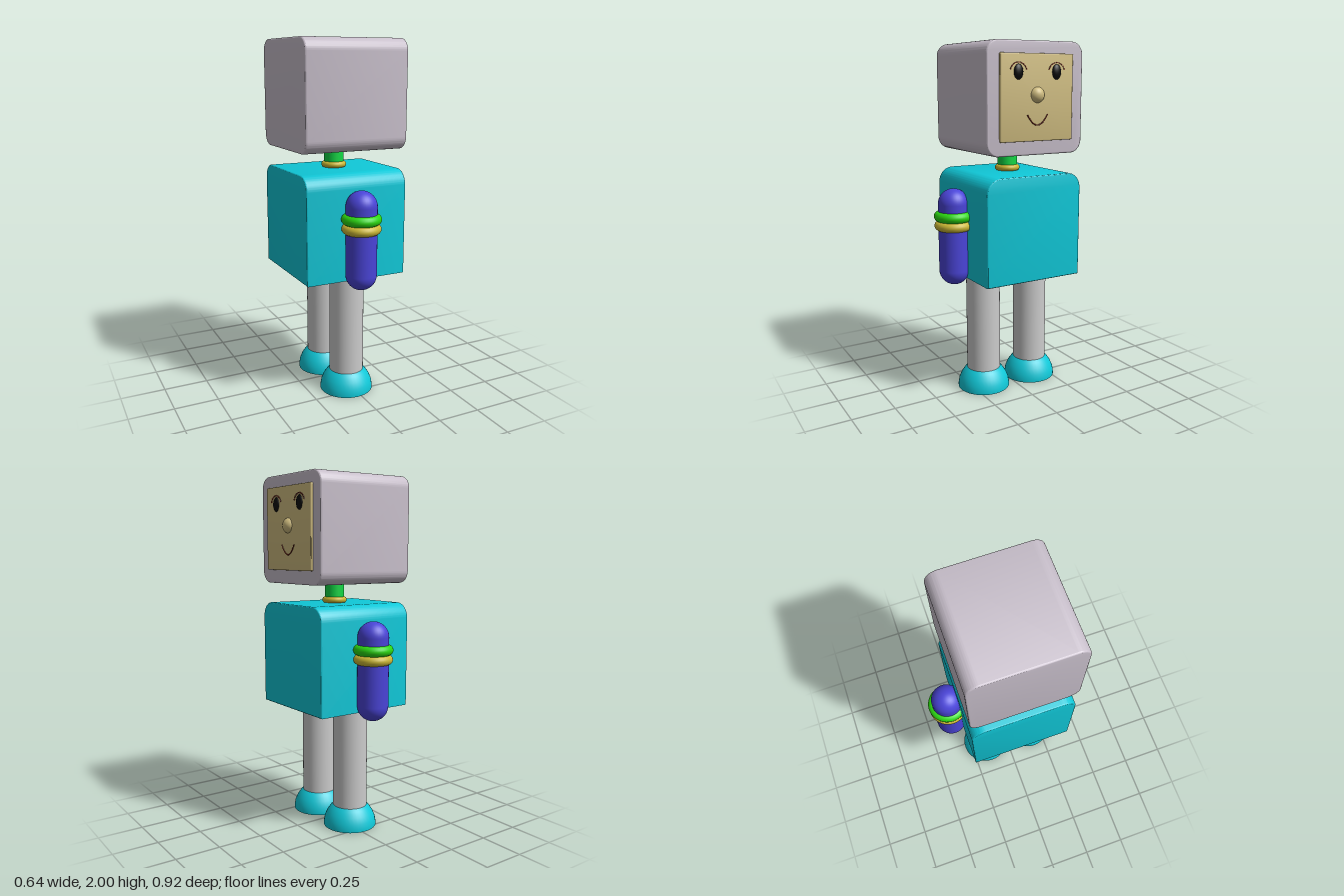
import * as THREE from 'three';
import { toCreasedNormals } from 'three/addons/utils/BufferGeometryUtils.js';

const material = (color) => new THREE.MeshStandardMaterial({ color });
const GREY = material(0xcccccc);
const HEAD = material(0xc9c0cc);
const TEAL = material(0x10c8d8);
const BLUE = material(0x4a44d8);
const GREEN = material(0x2bd810);
const NECK = material(0x10d845);
const YELLOW = material(0xcdb935);
const SKIN = material(0xd0bd80);
const BLACK = material(0x0a0a0a);
const BROWN = material(0x7a2a1c);

const CX = -0.022; // centre line of limbs and neck
const CZ = 0.008; // middle of head and body

export function createModel() {
  const model = new THREE.Group();
  model.name = 'robot';

  const add = (name, geometry, mat, x, y, z, parent = model) => {
    const mesh = new THREE.Mesh(geometry, mat);
    mesh.name = name;
    mesh.position.set(x, y, z);
    parent.add(mesh);
    return mesh;
  };

  // Rounded block running along x, with separate top and bottom corner radii
  const block = (width, height, depth, top, bottom, bevel) => {
    const w = width / 2, h = height / 2;
    const s = new THREE.Shape();
    s.moveTo(-w + bottom, -h);
    s.lineTo(w - bottom, -h);
    if (bottom) s.absarc(w - bottom, -h + bottom, bottom, -Math.PI / 2, 0);
    s.lineTo(w, h - top);
    s.absarc(w - top, h - top, top, 0, Math.PI / 2);
    s.lineTo(-w + top, h);
    s.absarc(-w + top, h - top, top, Math.PI / 2, Math.PI);
    s.lineTo(-w, -h + bottom);
    if (bottom) s.absarc(-w + bottom, -h + bottom, bottom, Math.PI, Math.PI * 1.5);
    const g = new THREE.ExtrudeGeometry(s, {
      depth: depth - 2 * bevel, bevelSize: bevel, bevelThickness: bevel,
      bevelOffset: -bevel, bevelSegments: 3, curveSegments: 12,
    });
    g.translate(0, 0, -depth / 2 + bevel);
    g.rotateY(Math.PI / 2);
    return toCreasedNormals(g, 0.6);
  };

  const ring = (name, radius, tube, mat, x, y, z, parent) => {
    const g = new THREE.TorusGeometry(radius, tube, 16, 48).rotateX(Math.PI / 2);
    return add(name, g, mat, x, y, z, parent);
  };

  // Head, body and neck
  add('head', block(0.595, 0.595, 0.6, 0.07, 0.07, 0.008), HEAD, -0.022, 1.7025, CZ);
  add('body', block(0.595, 0.592, 0.6, 0.085, 0, 0.006), TEAL, -0.022, 0.996, CZ);
  add('neck', new THREE.CylinderGeometry(0.056, 0.056, 0.16, 32), NECK, CX, 1.35, 0.01);
  ring('neckRing', 0.053, 0.018, YELLOW, CX, 1.308, 0.01);

  // Face, looking along +x
  const face = new THREE.Group();
  face.name = 'face';
  model.add(face);
  add('facePlate', block(0.45, 0.455, 0.03, 0.008, 0.008, 0.006), SKIN, 0.277, 1.7075, CZ, face);
  add('nose', new THREE.SphereGeometry(0.045, 32, 20), SKIN, 0.275, 1.722, CZ, face);
  for (const side of [-1, 1]) {
    const z = CZ + side * 0.118;
    const eye = add('eye', new THREE.SphereGeometry(1, 24, 16), BLACK, 0.288, 1.84, z, face);
    eye.scale.set(0.018, 0.041, 0.029);
    // Short dashes arching over the eye
    for (let i = 0; i < 9; i++) {
      const a = THREE.MathUtils.degToRad(20 + i * 17.5);
      const dash = add('eyebrow', new THREE.BoxGeometry(0.006, 0.005, 0.01), BROWN,
        0.293, 1.84 + Math.sin(a) * 0.048, z + Math.cos(a) * 0.05, face);
      dash.rotation.x = Math.PI / 2 - a;
    }
  }
  const smile = new THREE.QuadraticBezierCurve3(
    new THREE.Vector3(0.292, 1.62, CZ + 0.063),
    new THREE.Vector3(0.292, 1.51, CZ),
    new THREE.Vector3(0.292, 1.62, CZ - 0.063));
  add('mouth', new THREE.TubeGeometry(smile, 24, 0.0035, 8), BROWN, 0, 0, 0, face);

  // Arms with two bands, legs and domed feet
  const footProfile = [[0, 0], [0.152, 0], [0.152, 0.015], [0.147, 0.045],
    [0.133, 0.078], [0.113, 0.107], [0.098, 0.121], [0, 0.121]]
    .map(([r, y]) => new THREE.Vector2(r, y));
  const footGeometry = toCreasedNormals(new THREE.LatheGeometry(footProfile, 40), 0.6);
  for (const side of [-1, 1]) {
    const arm = new THREE.Group();
    arm.name = 'arm';
    arm.position.set(CX - 0.003, 0, 0.005 + side * 0.351);
    model.add(arm);
    add('armTube', new THREE.CapsuleGeometry(0.086, 0.378, 12, 36), BLUE, 0, 0.935, 0, arm);
    ring('upperBand', 0.081, 0.029, GREEN, 0, 1.055, 0, arm);
    ring('lowerBand', 0.081, 0.027, YELLOW, 0, 1.002, 0, arm);

    const z = 0.015 + side * 0.16;
    add('leg', new THREE.CylinderGeometry(0.098, 0.098, 0.61, 40), GREY, CX, 0.405, z);
    add('foot', footGeometry, TEAL, CX, 0, z);
  }
  return model;
}
